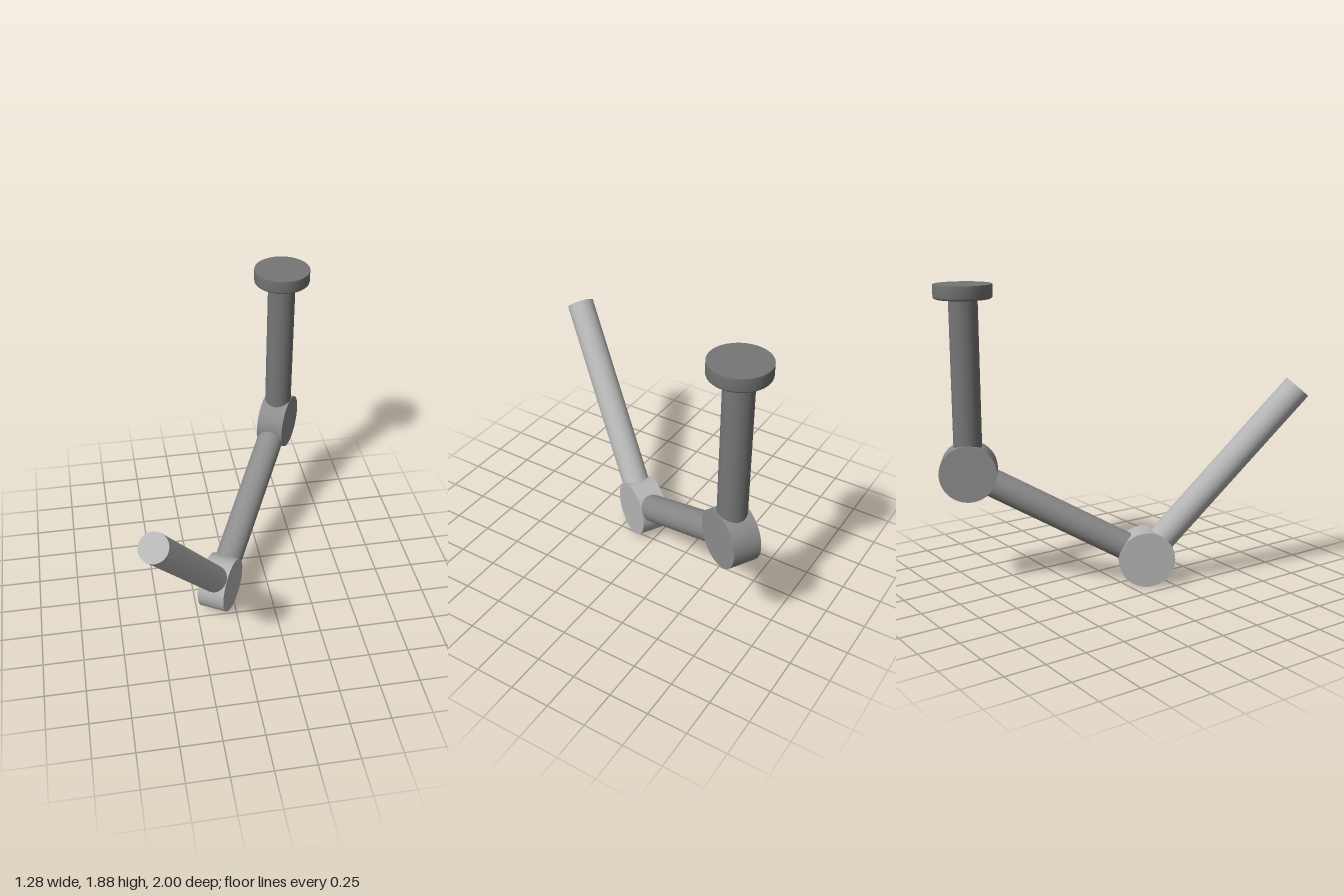
import * as THREE from 'three';
import { toCreasedNormals } from 'three/addons/utils/BufferGeometryUtils.js';

const LINK_R = 0.0865;
const JOINT_R = 0.175;
const JOINT_LENGTH = 0.175;
const UP = new THREE.Vector3(0, 1, 0);

export function createModel() {
  const model = new THREE.Group();

  // Each section of the arm is a lighter grey than the one before
  const dark = new THREE.MeshStandardMaterial({ color: 0x767676 });
  const middle = new THREE.MeshStandardMaterial({ color: 0x8d8d8d });
  const light = new THREE.MeshStandardMaterial({ color: 0xb6b6b6 });

  // The arm folds in one vertical plane; the hinges lie across it
  const hingeAxis = new THREE.Vector3(Math.cos(Math.PI / 6), 0, Math.sin(Math.PI / 6));
  const mount = new THREE.Vector3(0.465, 1.815, -0.806);
  const shoulder = new THREE.Vector3(0.465, 0.75, -0.806);
  const elbow = new THREE.Vector3(-0.086, 0.176, 0.133);
  const tip = new THREE.Vector3(-0.56, 1.245, 0.93);

  const add = (name, geometry, material) => {
    const mesh = new THREE.Mesh(geometry, material);
    mesh.name = name;
    model.add(mesh);
    return mesh;
  };

  // Round bar running between two points
  const addRod = (name, from, to, radius, material) => {
    const along = to.clone().sub(from);
    const rod = add(name, new THREE.CylinderGeometry(radius, radius, along.length(), 64), material);
    rod.position.copy(from).addScaledVector(along, 0.5);
    rod.quaternion.setFromUnitVectors(UP, along.normalize());
  };

  // Drum centred on a pivot, lying along the hinge axis
  const addJoint = (name, centre, material) => {
    const half = hingeAxis.clone().multiplyScalar(JOINT_LENGTH / 2);
    addRod(name, centre.clone().sub(half), centre.clone().add(half), JOINT_R, material);
  };

  // Mounting disc with a softened lower rim
  const profile = [[0, 0], [0.162, 0], [0.168, 0.002], [0.173, 0.007], [0.175, 0.014], [0.175, 0.086], [0, 0.086]]
    .map(([x, y]) => new THREE.Vector2(x, y));
  const disc = add('mountingDisc', toCreasedNormals(new THREE.LatheGeometry(profile, 64), 0.6), dark);
  disc.position.set(mount.x, 1.799, mount.z);

  // Links and hinges from the mount to the free end
  addRod('upperLink', shoulder, mount, LINK_R, dark);
  addJoint('shoulderJoint', shoulder, middle);
  addRod('middleLink', elbow, shoulder, LINK_R, middle);
  addJoint('elbowJoint', elbow, light);
  addRod('endLink', elbow, tip, LINK_R, light);

  return model;
}
